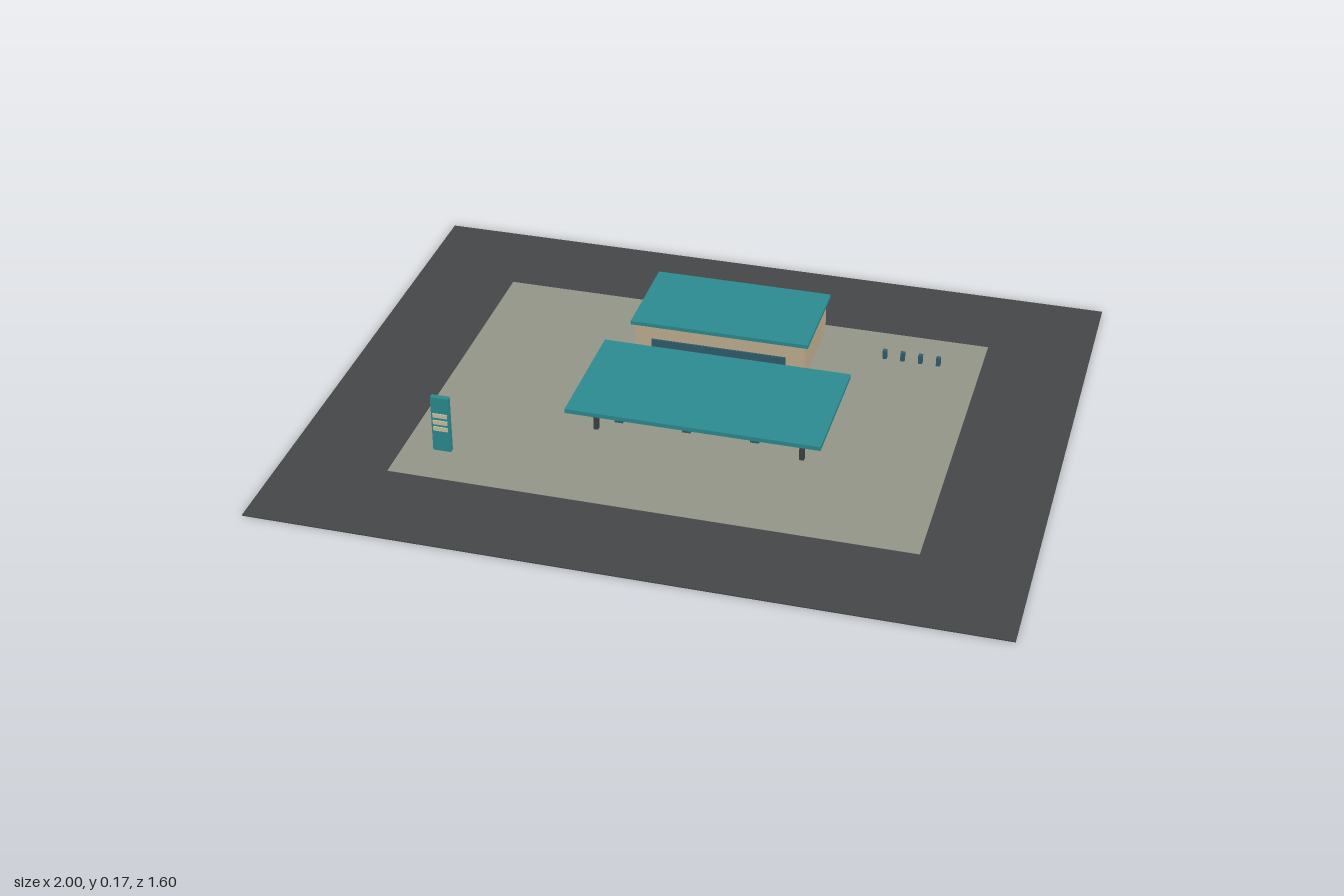
import * as THREE from 'three';

const mat = (name, color) => {
  const m = new THREE.MeshStandardMaterial({ color });
  m.name = name;
  return m;
};

export function createModel() {
  const model = new THREE.Group();
  model.name = 'fillingStation';

  const teal = mat('teal', 0x2b8a8f);
  const asphalt = mat('asphalt', 0x444647);
  const concrete = mat('concrete', 0x929488);
  const sand = mat('sand', 0xbfad8f);
  const glass = mat('blueGlass', 0x2f5d6c);
  const steel = mat('darkSteel', 0x3c4143);
  const cream = mat('cream', 0xc9bf9f);

  // Box from its centre in x and z, and its bottom and top heights
  const box = (name, material, x, z, w, d, y0, y1, parent = model) => {
    const mesh = new THREE.Mesh(new THREE.BoxGeometry(w, y1 - y0, d), material);
    mesh.position.set(x, (y0 + y1) / 2, z);
    mesh.name = name;
    parent.add(mesh);
    return mesh;
  };
  const group = (name) => {
    const g = new THREE.Group();
    g.name = name;
    model.add(g);
    return g;
  };

  // Ground
  const floor = 0.003;
  box('asphaltLot', asphalt, 0, 0, 2, 1.6, 0, floor);
  box('concreteForecourt', concrete, 0, 0, 1.425, 1.03, floor, floor + 0.001);

  // Shop
  const shop = group('shop');
  box('shopWalls', sand, 0, -0.35, 0.49, 0.27, floor, 0.11, shop);
  box('shopRoof', teal, 0, -0.35, 0.51, 0.29, 0.108, 0.119, shop);
  box('shopWindow', glass, -0.003, -0.213, 0.387, 0.006, 0.013, 0.065, shop);

  // Canopy on four columns
  const canopy = group('canopy');
  box('canopyRoof', teal, 0.045, 0.065, 0.7, 0.37, 0.088, 0.1, canopy);
  for (const sx of [-1, 1])
    for (const sz of [-1, 1])
      box('canopyColumn', steel, 0.045 + sx * 0.285, 0.065 + sz * 0.112, 0.013, 0.013, floor, 0.089, canopy);

  // Two rows of pumps with a small display
  for (const z of [0.13, 0.002])
    for (const x of [-0.19, 0, 0.19]) {
      const pump = group('pump');
      box('pumpBody', glass, x, z, 0.024, 0.012, floor, 0.037, pump);
      box('pumpDisplay', cream, x, z + 0.0065, 0.014, 0.002, 0.02, 0.03, pump);
    }

  // Price sign with three panels
  const sign = group('priceSign');
  box('signPylon', teal, -0.605, 0.382, 0.05, 0.015, floor, 0.17, sign);
  for (const y of [0.115, 0.094, 0.074])
    box('signPanel', cream, -0.605, 0.391, 0.04, 0.004, y - 0.006, y + 0.006, sign);

  // Row of bollards
  for (let i = 0; i < 4; i++)
    box('bollard', glass, 0.44 + i * 0.051, -0.382, 0.012, 0.013, floor, 0.03);

  return model;
}
